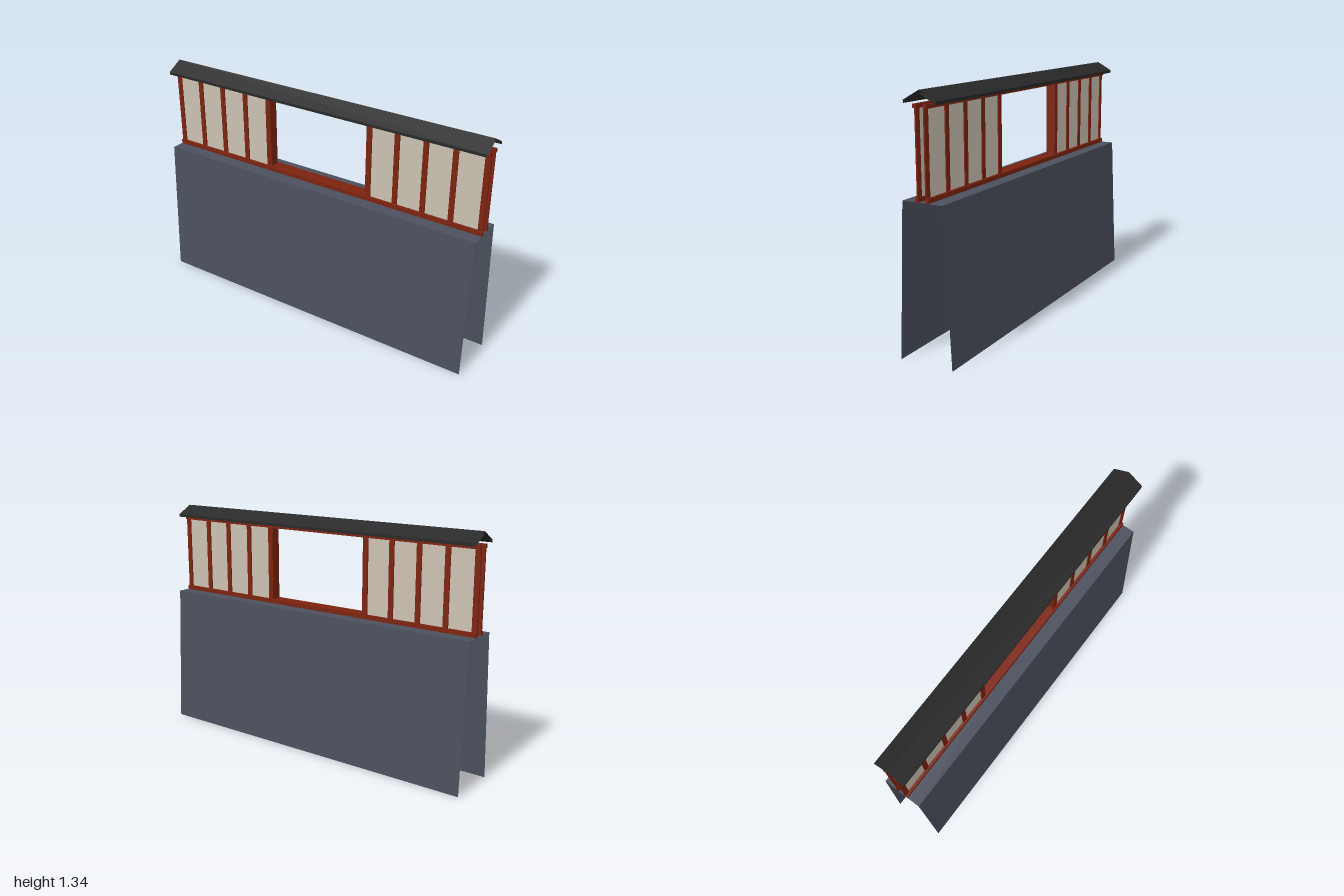
import * as THREE from 'three';

const mat = (name, color, side = THREE.FrontSide) => {
  const m = new THREE.MeshStandardMaterial({ color, side });
  m.name = name;
  return m;
};

// Open sheet: a [z, y] profile swept along x from -1 to 1, with flat faces
function sweep(profile) {
  const pos = [];
  for (let i = 0; i < profile.length - 1; i++) {
    const [z0, y0] = profile[i], [z1, y1] = profile[i + 1];
    pos.push(-1, y0, z0, -1, y1, z1, 1, y1, z1);
    pos.push(-1, y0, z0, 1, y1, z1, 1, y0, z0);
  }
  const g = new THREE.BufferGeometry();
  g.setAttribute('position', new THREE.Float32BufferAttribute(pos, 3));
  g.computeVertexNormals();
  return g;
}

export function createModel() {
  const stone = mat('slate stone', 0x4b505d, THREE.DoubleSide);
  const wood = mat('red wood', 0x7c230f);
  const woodSheet = mat('red wood sheet', 0x7c230f, THREE.DoubleSide);
  const plaster = mat('beige plaster', 0xccc1b3, THREE.DoubleSide);
  const tile = mat('dark roof', 0x282828, THREE.DoubleSide);

  const model = new THREE.Group();
  model.name = 'wallSection';
  const add = (name, geo, material, x = 0, y = 0, z = 0) => {
    const mesh = new THREE.Mesh(geo, material);
    mesh.name = name;
    mesh.position.set(x, y, z);
    model.add(mesh);
    return mesh;
  };

  // Battered base and open-ended gable roof
  add('baseWall', sweep([[-0.15, 0], [-0.112, 0.81], [0.112, 0.81], [0.15, 0]].reverse()), stone);
  add('roof', sweep([[0, 1.335], [-0.09, 1.285], [-0.09, 1.27], [0, 1.32],
    [0.09, 1.27], [0.09, 1.285], [0, 1.335]].reverse()), tile);

  // Post centres on each side of the opening; the innermost one is the jamb
  const leftPosts = [0.325, 0.49, 0.654, 0.817, 0.985];
  const rightPosts = [-0.332, -0.495, -0.659, -0.822, -0.985];
  const low = 0.832, high = 1.25, mid = (low + high) / 2, tall = high - low;

  for (const s of [1, -1]) {
    // Sill and head rails on the front and back
    add('sillRail', new THREE.BoxGeometry(2, 0.023, 0.018), wood, 0, 0.8215, s * 0.029);
    add('headRail', new THREE.BoxGeometry(2, 0.02, 0.018), wood, 0, 1.26, s * 0.029);

    for (const posts of [leftPosts, rightPosts]) {
      posts.slice(1).forEach((x) =>
        add('post', new THREE.BoxGeometry(0.03, tall, 0.008), wood, x, mid, s * 0.024));
      // Plaster panels between the posts
      for (let i = 0; i < posts.length - 1; i++) {
        add('panel', new THREE.PlaneGeometry(Math.abs(posts[i + 1] - posts[i]), tall),
          plaster, (posts[i] + posts[i + 1]) / 2, mid, s * 0.022).rotation.y = s > 0 ? 0 : Math.PI;
      }
    }
  }

  // Full-depth jambs, sill board and head board framing the opening
  for (const x of [leftPosts[0], rightPosts[0]]) {
    add('jamb', new THREE.BoxGeometry(0.032, tall, 0.056), wood, x, mid, 0);
  }
  const board = new THREE.PlaneGeometry(0.66, 0.056).rotateX(-Math.PI / 2);
  add('openingSill', board, woodSheet, 0, low, 0);
  add('openingHead', board.clone().rotateX(Math.PI), woodSheet, 0, high, 0);

  return model;
}
